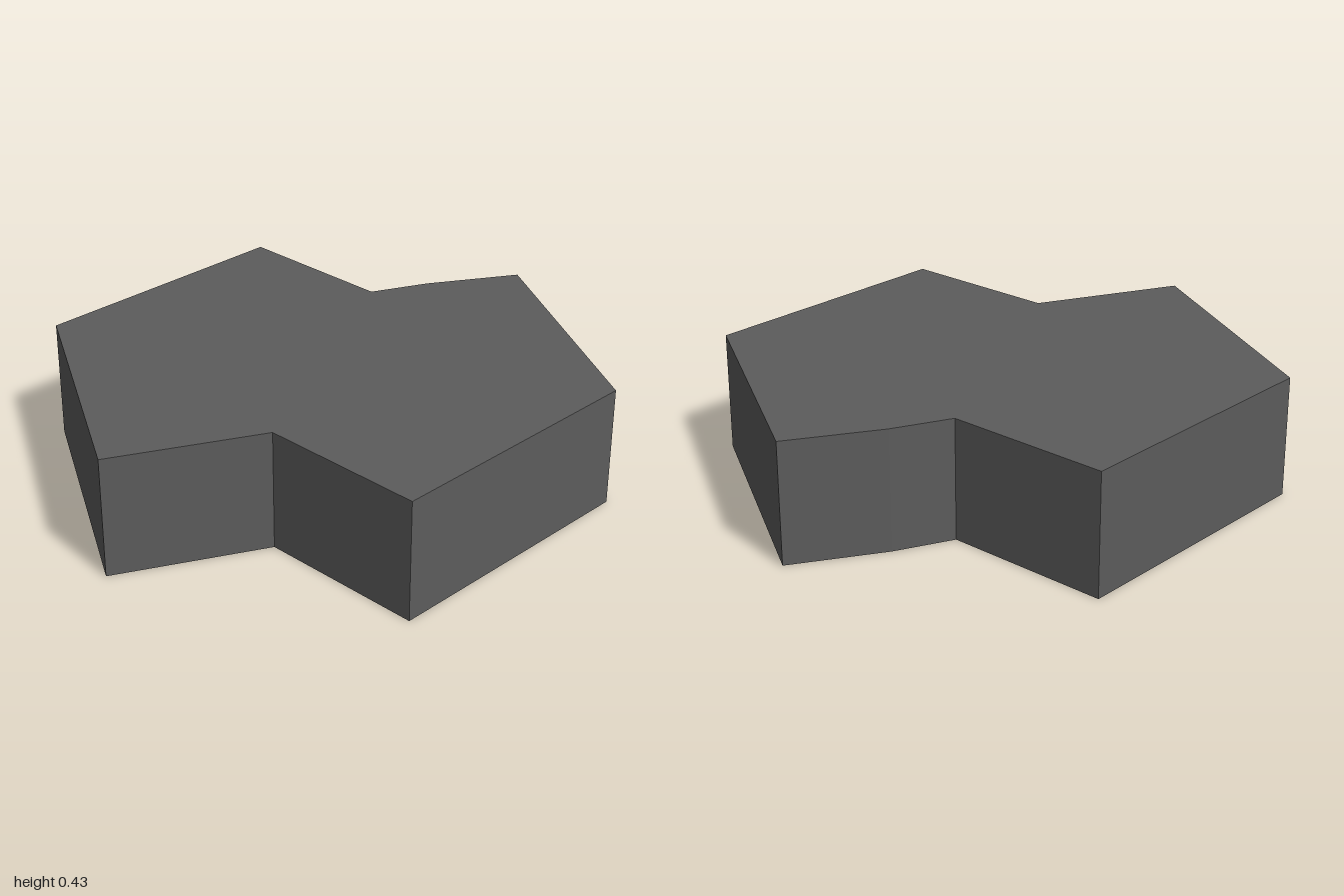
import * as THREE from 'three';

const HEIGHT = 0.43;

// Plan outline as [x, z], starting at the back left corner
const OUTLINE = [
  [-0.5, -0.857], [0.5, -0.857], [0.5, -0.26], [0.7, -0.164], [1, 0.024],
  [0.5, 0.857], [-0.5, 0.857], [-0.5, 0.257], [-1, 0],
];

// One upright panel for each outline edge, facing outward
function wallGeometry() {
  const positions = [];
  OUTLINE.forEach(([ax, az], i) => {
    const [bx, bz] = OUTLINE[(i + 1) % OUTLINE.length];
    positions.push(
      bx, 0, bz, ax, 0, az, ax, HEIGHT, az,
      bx, 0, bz, ax, HEIGHT, az, bx, HEIGHT, bz,
    );
  });
  const geometry = new THREE.BufferGeometry();
  geometry.setAttribute('position', new THREE.Float32BufferAttribute(positions, 3));
  geometry.computeVertexNormals();
  return geometry;
}

export function createModel() {
  const darkGrey = new THREE.MeshStandardMaterial({ color: 0x5c5c5c, side: THREE.DoubleSide });
  darkGrey.name = 'dark grey';

  const model = new THREE.Group();
  model.name = 'angularShell';

  // Flat top; the underside is left open
  const shape = new THREE.Shape(OUTLINE.map(([x, z]) => new THREE.Vector2(x, -z)));
  const topGeometry = new THREE.ShapeGeometry(shape);
  topGeometry.rotateX(-Math.PI / 2).translate(0, HEIGHT, 0);
  const top = new THREE.Mesh(topGeometry, darkGrey);
  top.name = 'topPlate';

  // Side walls
  const walls = new THREE.Mesh(wallGeometry(), darkGrey);
  walls.name = 'sideWalls';

  model.add(top, walls);
  return model;
}
